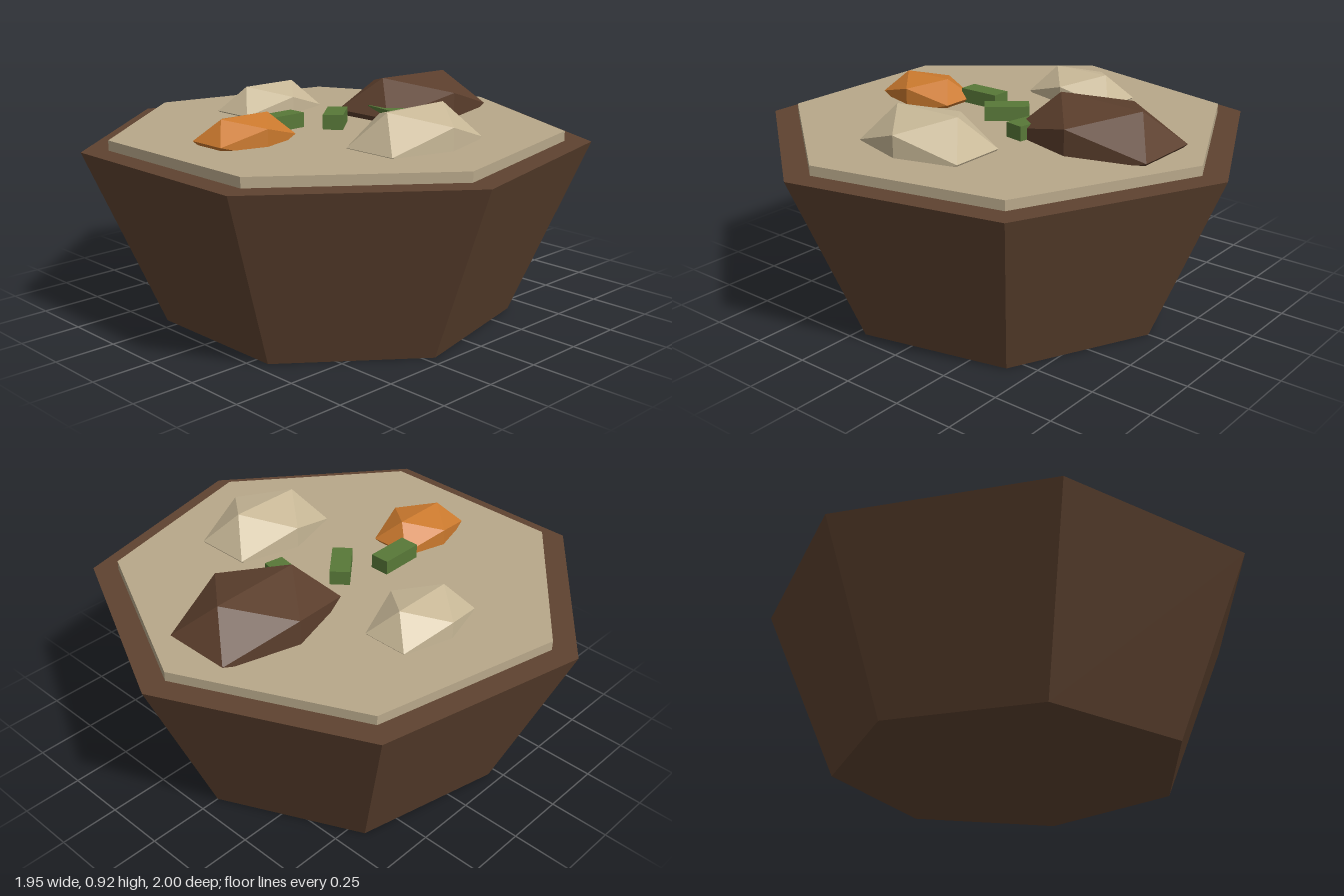
import * as THREE from 'three';

function makeMaterial(name, color) {
  const material = new THREE.MeshStandardMaterial({ color });
  material.name = name;
  return material;
}

// Seven-sided tapered drum with hard facets and one corner pointing to +x
function heptagon(topRadius, bottomRadius, y0, y1) {
  const geometry = new THREE.CylinderGeometry(topRadius, bottomRadius, y1 - y0, 7, 1, false, Math.PI / 2).toNonIndexed();
  geometry.computeVertexNormals();
  geometry.translate(-0.05, (y0 + y1) / 2, 0);
  return geometry;
}

export function createModel() {
  const group = new THREE.Group();
  group.name = 'stewBowl';

  const wood = makeMaterial('bowl brown', 0x5f4330);
  const broth = makeMaterial('broth beige', 0xb8a88a);
  const potato = makeMaterial('potato cream', 0xc9b998);
  const carrot = makeMaterial('carrot orange', 0xcc7a2e);
  const meat = makeMaterial('meat brown', 0x5c3f2d);
  const herb = makeMaterial('herb green', 0x587838);

  const add = (name, geometry, material) => {
    const mesh = new THREE.Mesh(geometry, material);
    mesh.name = name;
    group.add(mesh);
    return mesh;
  };

  // Bowl and the slab of broth on top
  add('bowl', heptagon(1.026, 0.72, 0, 0.72), wood);
  add('broth', heptagon(0.92, 0.92, 0.7, 0.76), broth);

  // Faceted chunks, half sunk in the broth: position, radii, tilt
  const chunks = [
    ['meatChunk', meat, [0.41, 0.778, 0], [0.363, 0.165, 0.276], -0.02],
    ['frontPotato', potato, [-0.07, 0.765, 0.457], [0.295, 0.16, 0.225], 0.01],
    ['backPotato', potato, [-0.01, 0.765, -0.46], [0.245, 0.125, 0.182], 0],
    ['carrotChunk', carrot, [-0.51, 0.775, -0.023], [0.217, 0.1, 0.161], 0],
  ];
  for (const [name, material, position, radii, tilt] of chunks) {
    const geometry = new THREE.IcosahedronGeometry(1, 0).scale(...radii);
    geometry.computeVertexNormals();
    const mesh = add(name, geometry, material);
    mesh.position.set(...position);
    mesh.rotation.z = tilt;
  }

  // Chopped herb pieces: x, z, turn
  const herbs = [[-0.26, -0.104, 0], [-0.053, 0, 0.7], [0.154, 0.104, 1.4]];
  herbs.forEach(([x, z, turn], i) => {
    const mesh = add('herb' + (i + 1), new THREE.BoxGeometry(0.184, 0.06, 0.082), herb);
    mesh.position.set(x, 0.79, z);
    mesh.rotation.y = turn;
  });

  return group;
}
